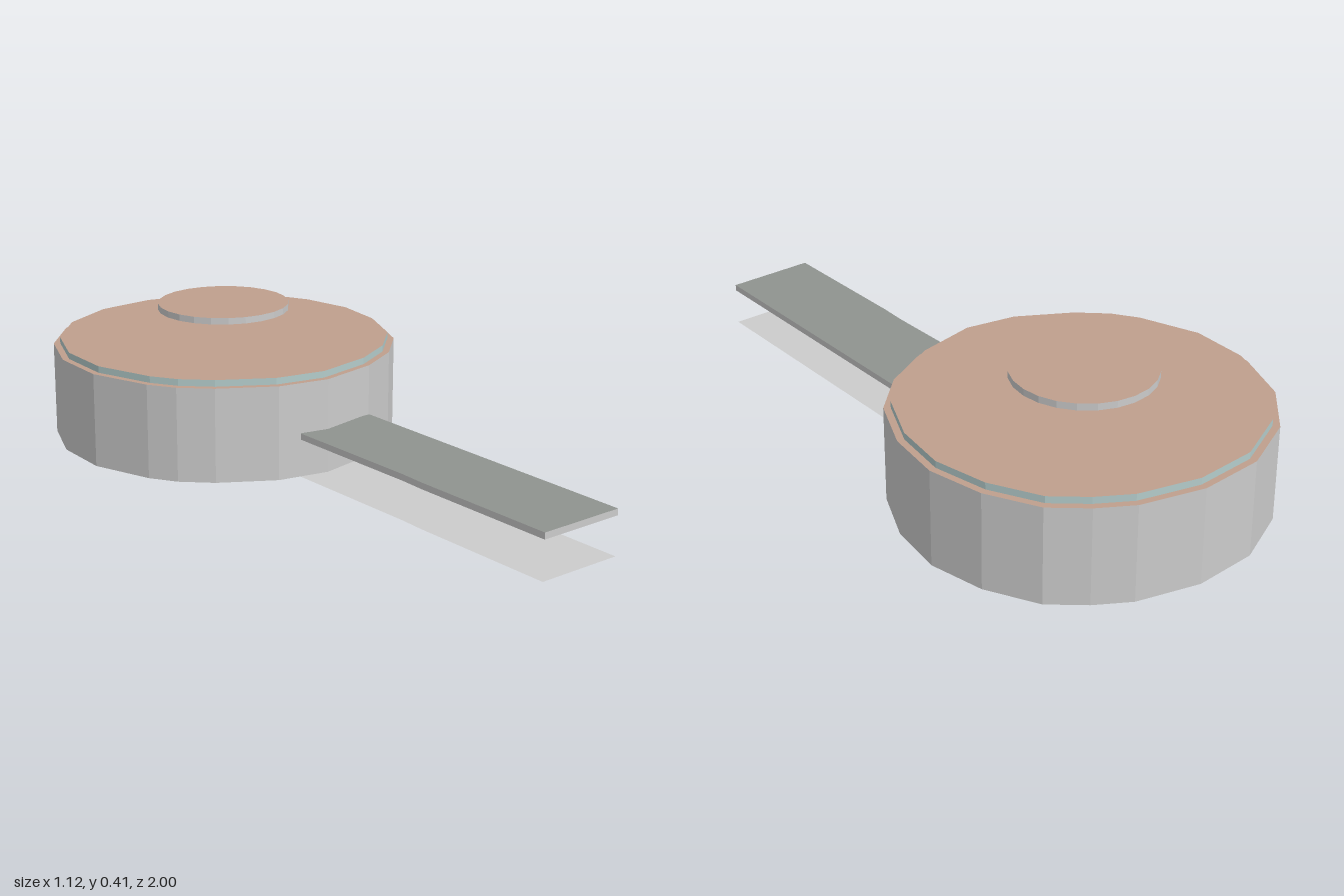
import * as THREE from 'three';

const material = (color) => new THREE.MeshStandardMaterial({ color, side: THREE.DoubleSide, flatShading: true });
const grey = material(0xcccccc);
const teal = material(0xb4cccb);
const clay = material(0xbf9f8d);
const slate = material(0x8f938f);

// Slightly uneven plan of the drum, as [x, z] around its centre
const CX = -0.03, CZ = -0.47;
const drumPlan = [
  [0.50, -0.48], [0.475, -0.65], [0.395, -0.80], [0.28, -0.92], [0.17, -0.97],
  [0.06, -1.0], [-0.13, -0.995], [-0.31, -0.93], [-0.455, -0.80], [-0.54, -0.63],
  [-0.56, -0.44], [-0.515, -0.26], [-0.40, -0.10], [-0.33, -0.04], [-0.23, 0.01],
  [-0.05, 0.055], [0.11, 0.04], [0.28, -0.05], [0.395, -0.16], [0.475, -0.30],
];
const scaled = (s) => drumPlan.map(([x, z]) => [CX + (x - CX) * s, CZ + (z - CZ) * s]);
const handlePlan = [[0.02, 0.05], [0.15, 0.48], [0.17, 0.56], [0.30, 1.0], [0.56, 0.92], [0.28, -0.045]];

const outline = (pts) => pts.map(([x, z]) => new THREE.Vector2(x, -z));

// Flat horizontal sheet, optionally with a hole
function sheet(name, pts, y, mat, hole) {
  const shape = new THREE.Shape(outline(pts));
  if (hole) shape.holes.push(new THREE.Path(outline(hole)));
  const geo = new THREE.ShapeGeometry(shape).rotateX(-Math.PI / 2).translate(0, y, 0);
  return named(name, geo, mat);
}

// Thin upright wall following a closed plan
function wall(name, pts, y0, y1, mat) {
  const pos = [];
  pts.forEach(([ax, az], i) => {
    const [bx, bz] = pts[(i + 1) % pts.length];
    pos.push(ax, y0, az, bx, y0, bz, bx, y1, bz, ax, y0, az, bx, y1, bz, ax, y1, az);
  });
  const geo = new THREE.BufferGeometry();
  geo.setAttribute('position', new THREE.Float32BufferAttribute(pos, 3));
  geo.computeVertexNormals();
  return named(name, geo, mat);
}

function named(name, geo, mat) {
  const mesh = new THREE.Mesh(geo, mat);
  mesh.name = name;
  return mesh;
}

export function createModel() {
  const model = new THREE.Group();
  model.name = 'lidded drum with handle';

  // Drum: outer skin, raised inner shell and recessed underside
  const outer = scaled(1), shell = scaled(0.962), lining = scaled(0.915);
  const drum = new THREE.Group();
  drum.name = 'drum';
  drum.add(
    wall('outerWall', outer, 0, 0.287, grey),
    sheet('outerRim', outer, 0.287, clay, shell),
    wall('innerShell', shell, 0, 0.307, teal),
    sheet('lid', shell, 0.307, clay),
    wall('recessWall', lining, 0, 0.15, teal),
    sheet('recessCeiling', lining, 0.15, clay),
  );

  // Floating round cap above the lid
  const cap = named('cap', new THREE.CylinderGeometry(0.205, 0.205, 0.02, 24), [grey, clay, grey]);
  cap.position.set(-0.025, 0.396, -0.495);

  // Handle slab with a darker top, and a thin sheet on the ground below it
  const handle = new THREE.Group();
  handle.name = 'handle';
  handle.add(
    wall('handleEdge', handlePlan, 0.115, 0.134, grey),
    sheet('handleTop', handlePlan, 0.134, slate),
    sheet('handleUnderside', handlePlan, 0.115, grey),
    sheet('groundSheet', handlePlan, 0, grey),
  );

  model.add(drum, cap, handle);
  return model;
}
